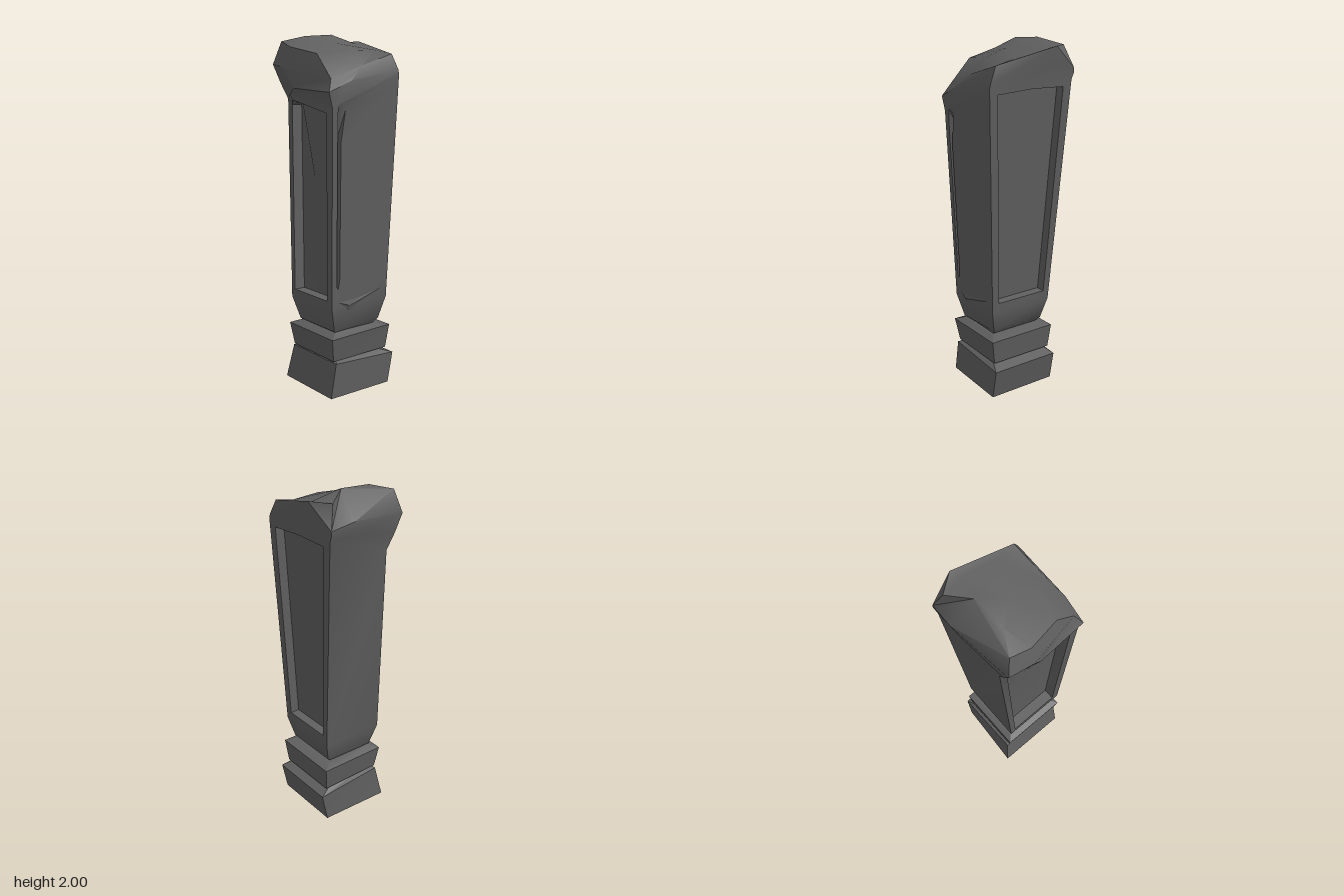
import * as THREE from 'three';
import { toCreasedNormals } from 'three/addons/utils/BufferGeometryUtils.js';

const stone = new THREE.MeshStandardMaterial({ color: 0x606060 });
stone.name = 'dark stone';

const V = (x, y, z) => new THREE.Vector3(x, y, z);
const mix = (a, b, t) => a.clone().lerp(b, t);

// Collects triangles and quads (counter-clockwise seen from outside)
class Builder {
  constructor() { this.p = []; }
  tri(...pts) { for (const v of pts) this.p.push(v.x, v.y, v.z); }
  quad(a, b, c, d) { this.tri(a, b, c); this.tri(a, c, d); }
  loft(rings) {
    for (let k = 0; k + 1 < rings.length; k++) {
      const a = rings[k], b = rings[k + 1];
      a.forEach((v, i) => {
        const j = (i + 1) % a.length;
        this.quad(v, a[j], b[j], b[i]);
      });
    }
  }
  cap(ring, centre, up = true) {
    ring.forEach((v, i) => {
      const w = ring[(i + 1) % ring.length];
      if (up) this.tri(v, w, centre); else this.tri(w, v, centre);
    });
  }
  mesh(name, crease) {
    const g = new THREE.BufferGeometry();
    g.setAttribute('position', new THREE.Float32BufferAttribute(this.p, 3));
    const m = new THREE.Mesh(toCreasedNormals(g, crease), stone);
    m.name = name;
    return m;
  }
}

// Four corners: front left, front right, back right, back left; left and right heights may differ
const ring4 = (x0, x1, zb, zf, yl, yr = yl) =>
  [V(x0, yl, zf), V(x1, yr, zf), V(x1, yr, zb), V(x0, yl, zb)];

const centreOf = (ring) =>
  ring.reduce((s, v) => s.add(v), V(0, 0, 0)).divideScalar(ring.length);

function block(name, rings) {
  const b = new Builder();
  b.loft(rings);
  b.cap(rings[0], centreOf(rings[0]), false);
  b.cap(rings.at(-1), centreOf(rings.at(-1)));
  return b.mesh(name, 0.3);
}

// Side face with a recessed panel, framed inside the given outline
function panelFace(b, outline, inset) {
  const mid = centreOf(outline);
  const rim = outline.map((p) => V(
    mid.x + (p.x - mid.x) * 0.93,
    mid.y + (p.y - mid.y) * 0.93,
    mid.z + (p.z - mid.z) * 0.8,
  ));
  const floor = rim.map((p) => V(p.x + inset, p.y, p.z));
  outline.forEach((p, i) => {
    const j = (i + 1) % outline.length;
    b.quad(p, outline[j], rim[j], rim[i]);
    b.quad(rim[i], rim[j], floor[j], floor[i]);
  });
  b.cap(floor, centreOf(floor));
}

export function createModel() {
  const group = new THREE.Group();
  group.name = 'stonePillar';

  // Plinth and collar
  group.add(block('plinth', [
    [V(-0.21, 0, 0.24), V(0.205, 0, 0.24), V(0.205, 0, -0.172), V(-0.21, 0, -0.198)],
    ring4(-0.175, 0.24, -0.17, 0.24, 0.195, 0.175),
    ring4(-0.14, 0.14, -0.13, 0.2, 0.21),
  ]));
  group.add(block('collar', [
    ring4(-0.14, 0.14, -0.12, 0.19, 0.195),
    ring4(-0.18, 0.198, -0.155, 0.222, 0.205, 0.21),
    ring4(-0.203, 0.21, -0.17, 0.242, 0.338, 0.35),
    ring4(-0.15, 0.15, -0.12, 0.2, 0.36, 0.362),
  ]));

  // Flared foot of the shaft
  const neck = ring4(-0.13, 0.12, -0.1, 0.18, 0.35);
  const foot = ring4(-0.158, 0.16, -0.125, 0.2, 0.367, 0.39);
  const low = ring4(-0.196, 0.192, -0.155, 0.23, 0.5, 0.52);
  const b = new Builder();
  b.loft([neck, foot, low]);

  // Head rings: front left, front, front right, right, back right, back, back left, left
  const head = [
    [V(-0.22, 1.6, 0.264), V(0, 1.69, 0.266), V(0.236, 1.775, 0.268), V(0.24, 1.79, 0),
      V(0.24, 1.785, -0.252), V(0.03, 1.725, -0.235), V(-0.172, 1.64, -0.212), V(-0.235, 1.67, -0.1)],
    [V(-0.243, 1.68, 0.268), V(-0.1, 1.74, 0.274), V(0.236, 1.8, 0.262), V(0.246, 1.85, -0.05),
      V(0.242, 1.82, -0.266), V(0.05, 1.79, -0.258), V(-0.215, 1.73, -0.224), V(-0.262, 1.7, -0.03)],
    [V(-0.205, 1.75, 0.232), V(0, 1.82, 0.24), V(0.222, 1.885, 0.222), V(0.273, 1.968, -0.125),
      V(0.242, 1.845, -0.266), V(0.1, 1.87, -0.276), V(-0.26, 1.83, -0.23), V(-0.28, 1.81, -0.09)],
    [V(-0.205, 1.88, 0.11), V(0, 1.9, 0.15), V(0.2, 1.91, 0.1), V(0.222, 1.95, -0.09),
      V(0.2, 1.965, -0.225), V(0.08, 2.0, -0.14), V(-0.225, 1.955, -0.195), V(-0.243, 1.92, -0.08)],
  ];
  const h = head[0];

  // Front face with a chipped groove near the left edge
  const us = [0, 0.08, 0.1, 0.13, 1];
  const ts = [0, 0.1, 0.14, 0.82, 0.96, 1];
  const depth = [0, 0, 0.02, 0.03, 0.02, 0];
  const grid = ts.map((t, r) => us.map((u, c) => {
    const shift = r === 4 && c === 3 ? 0.06 : 0;
    const p = mix(mix(low[0], h[0], t), mix(low[1], h[2], t), u + shift);
    if (c === 2) p.z -= depth[r];
    return p;
  }));
  for (let r = 0; r + 1 < ts.length; r++) {
    for (let c = 0; c + 1 < us.length; c++) {
      b.quad(grid[r][c], grid[r][c + 1], grid[r + 1][c + 1], grid[r + 1][c]);
    }
  }
  b.tri(h[0], h[2], h[1]);

  // Plain back and recessed sides
  b.quad(low[2], low[3], h[6], h[5]);
  b.tri(low[2], h[5], h[4]);
  panelFace(b, [low[1], low[2], h[4], h[3], h[2]], -0.055);
  panelFace(b, [low[3], low[0], h[0], h[7], h[6]], 0.065);

  // Worn, lopsided head with a ridge towards the back
  b.loft(head);
  const crown = head[3];
  const ridge = V(-0.11, 1.985, -0.13);
  const heart = V(0, 1.945, 0);
  b.tri(crown[5], crown[6], ridge);
  b.tri(crown[6], crown[7], ridge);
  b.tri(crown[5], ridge, heart);
  b.tri(ridge, crown[7], heart);
  b.tri(crown[3], crown[4], crown[5]);
  b.tri(crown[3], crown[5], heart);
  for (const i of [7, 0, 1, 2]) b.tri(crown[i], crown[(i + 1) % 8], heart);
  group.add(b.mesh('shaftAndHead', 0.65));

  // Small chipped ledge low on the front
  const chip = new Builder();
  const l = V(-0.15, 0.54, 0.231), r = V(0.16, 0.58, 0.232);
  const lip = V(-0.08, 0.515, 0.238), under = V(-0.08, 0.48, 0.225), back = V(0, 0.55, 0.231);
  chip.tri(l, lip, back);
  chip.tri(lip, r, back);
  chip.tri(l, under, lip);
  chip.tri(under, r, lip);
  group.add(chip.mesh('chippedLedge', 0.1));

  return group;
}
